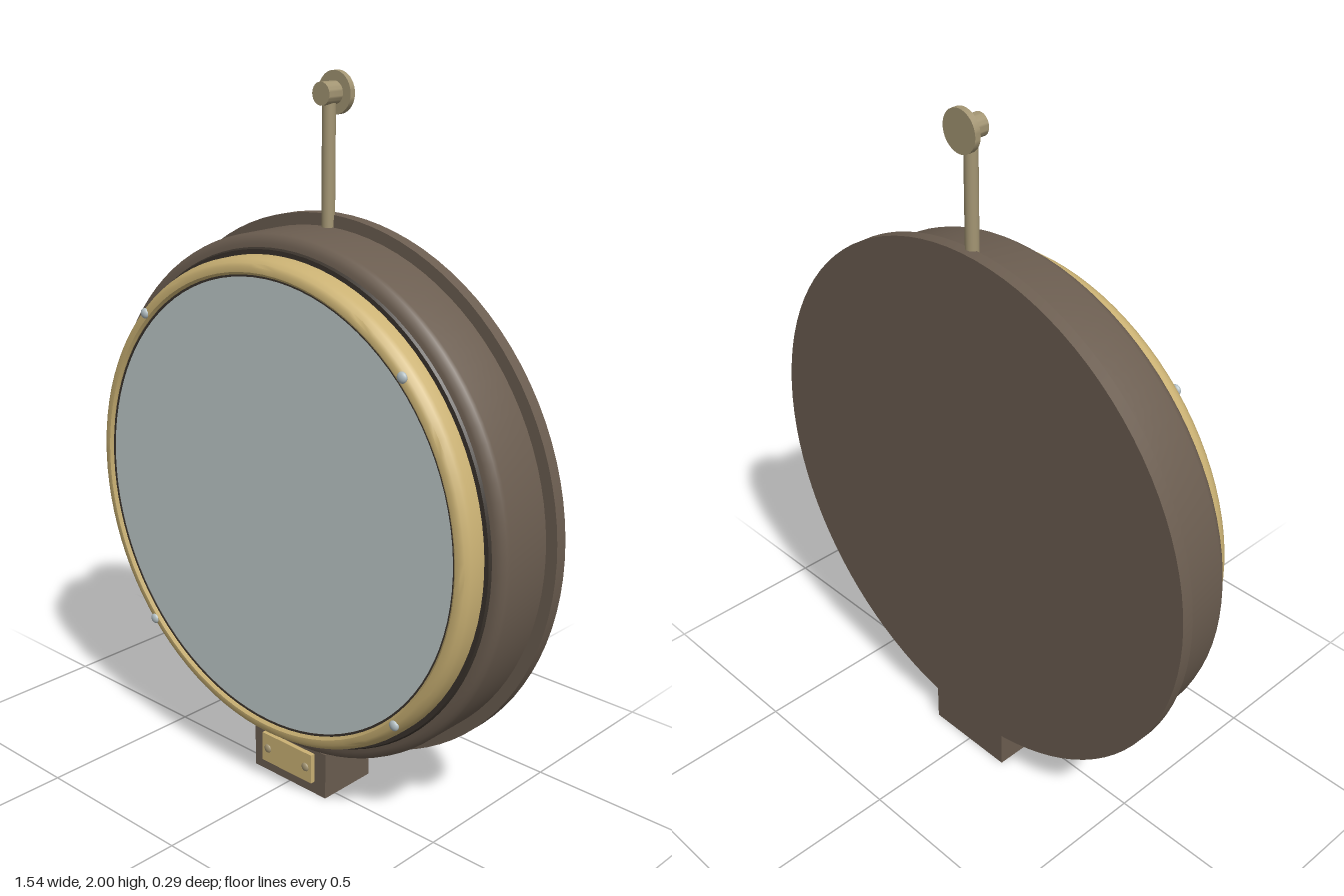
import * as THREE from 'three';
import { toCreasedNormals } from 'three/addons/utils/BufferGeometryUtils.js';

export function createModel() {
  const model = new THREE.Group();
  const mat = (name, color) => {
    const m = new THREE.MeshStandardMaterial({ color });
    m.name = name;
    return m;
  };
  const bronze = mat('dark bronze', 0x6b5d50);
  const brass = mat('brass', 0xcbb274);
  const agedBrass = mat('aged brass', 0xa39573);
  const glass = mat('pale glass', 0xbfcbcb);
  const steel = mat('steel', 0xb4c0c4);
  const gasketDark = mat('dark gasket', 0x3a332c);
  const CY = 0.865;

  const add = (name, geometry, material, x, y, z, parent = model) => {
    const mesh = new THREE.Mesh(geometry, material);
    mesh.name = name;
    mesh.position.set(x, y, z);
    parent.add(mesh);
    return mesh;
  };
  // Round part about the z axis; profile is [radius, z] from back to front
  const turned = (name, profile, material, x, y, segments = 96, z = 0) => {
    const points = profile.map(([r, d]) => new THREE.Vector2(r, d));
    const geometry = new THREE.LatheGeometry(points, segments).rotateX(Math.PI / 2);
    return add(name, toCreasedNormals(geometry, 0.6), material, x, y, z);
  };
  const disc = (name, r, z0, z1, material, x, y, segments = 96) =>
    turned(name, [[0, z0], [r, z0], [r, z1], [0, z1]], material, x, y, segments);

  // Housing
  disc('backPlate', 0.768, -0.145, -0.11, bronze, 0, CY);
  turned('housing', [[0.735, -0.112], [0.735, 0.035], [0.732, 0.046], [0.724, 0.056],
    [0.71, 0.062], [0.69, 0.064], [0, 0.064]], bronze, 0, CY);
  turned('gasket', [[0.7, 0.062], [0.695, 0.07], [0.66, 0.07]], gasketDark, 0, CY);

  // Bezel ring with a sloping inner lip, and the glass set inside it
  turned('bezel', [[0.682, 0.066], [0.682, 0.105], [0.678, 0.118], [0.669, 0.131],
    [0.66, 0.137], [0.645, 0.137], [0.638, 0.131], [0.638, 0.1]], brass, 0, CY);
  disc('glass', 0.638, 0.1, 0.126, glass, 0, CY);
  turned('glassSeal', [[0.638, 0.128], [0.632, 0.128], [0.632, 0.125]], gasketDark, 0, CY);

  // Four domed bezel screws
  for (const sx of [-1, 1]) for (const sy of [-1, 1]) {
    const screw = add('bezelScrew', new THREE.SphereGeometry(0.015, 16, 12), steel,
      sx * 0.466, CY + sy * 0.466, 0.136);
    screw.scale.z = 0.6;
  }

  // Foot block with its small plate and rivets
  add('footBlock', new THREE.BoxGeometry(0.28, 0.14, 0.187), bronze, 0, 0.07, -0.0515);
  add('footPlate', new THREE.BoxGeometry(0.195, 0.09, 0.014), brass, 0, 0.082, 0.049);
  for (const sx of [-1, 1]) {
    const rivet = add('footRivet', new THREE.SphereGeometry(0.013, 16, 12), agedBrass,
      sx * 0.075, 0.082, 0.056);
    rivet.scale.z = 0.5;
  }

  // Hanging rod, wall flange and knob
  add('hangingRod', new THREE.CylinderGeometry(0.018, 0.018, 0.345, 24), agedBrass, 0, 1.7725, -0.108);
  disc('wallFlange', 0.056, -0.145, -0.128, agedBrass, 0, 1.944, 40);
  disc('hangerKnob', 0.03, -0.13, -0.077, agedBrass, 0, 1.944, 32);

  return model;
}
